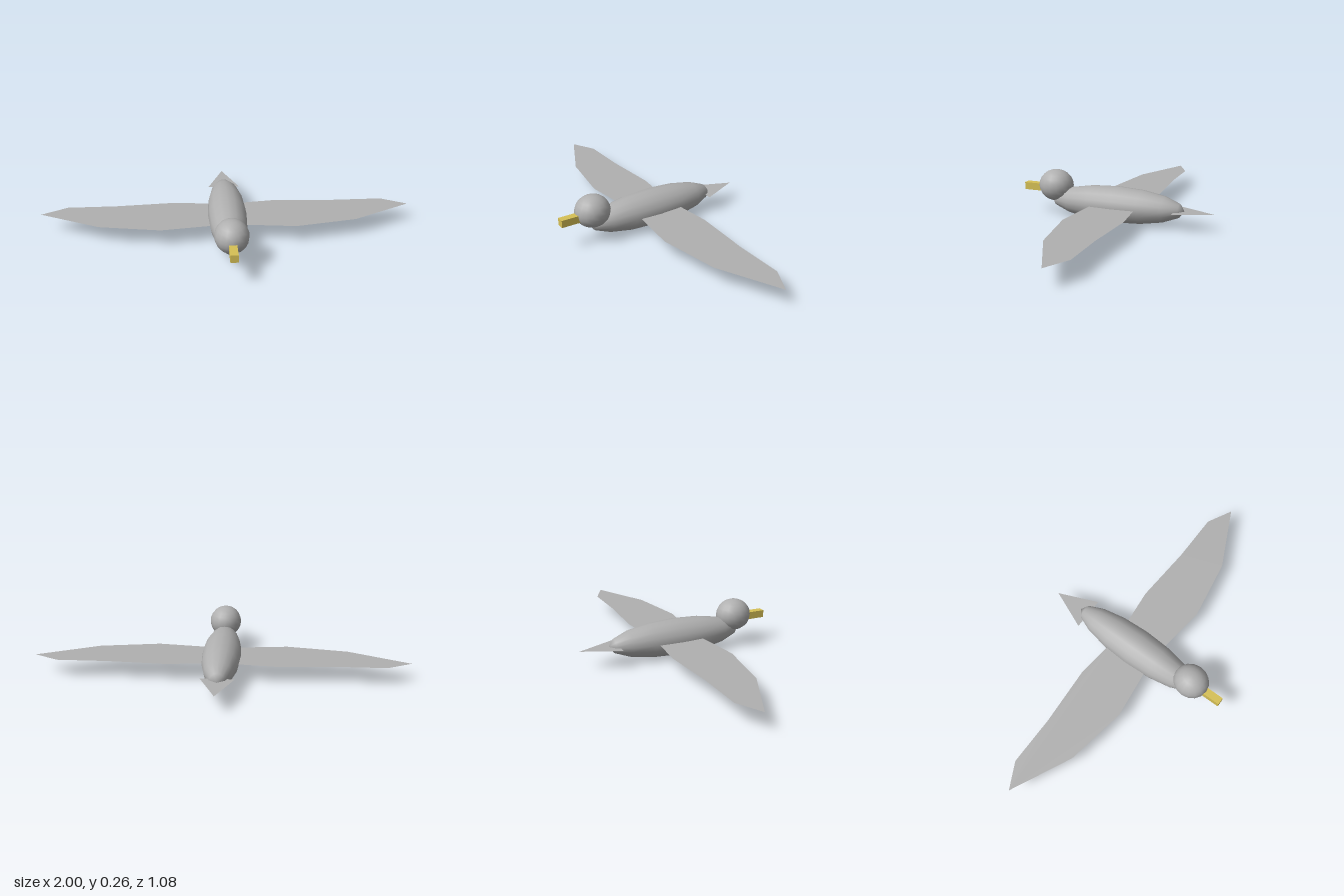
import * as THREE from 'three';

export function createModel() {
  const model = new THREE.Group();
  const grey = new THREE.MeshStandardMaterial({ color: 0xb0b0b0, side: THREE.DoubleSide });
  grey.name = 'feather grey';
  const yellow = new THREE.MeshStandardMaterial({ color: 0xd6c055 });
  yellow.name = 'beak yellow';
  const midY = 0.098;

  const add = (name, geometry, material, x, y, z) => {
    const mesh = new THREE.Mesh(geometry, material);
    mesh.name = name;
    mesh.position.set(x, y, z);
    model.add(mesh);
    return mesh;
  };

  // Flat sheet from [x, z] outline, lying level and facing up
  const sheet = (points) => {
    const shape = new THREE.Shape(points.map(([x, z]) => new THREE.Vector2(x, -z)));
    return new THREE.ShapeGeometry(shape).rotateX(-Math.PI / 2);
  };

  // Long body with its poles at nose and tail
  const bodyShape = new THREE.SphereGeometry(1, 16, 8).rotateX(Math.PI / 2).scale(0.104, 0.098, 0.38);
  add('body', bodyShape, grey, 0, midY, 0);

  // Head and beak
  add('head', new THREE.SphereGeometry(1, 16, 12).scale(0.088, 0.087, 0.096), grey, 0, 0.173, 0.355);
  add('beak', new THREE.BoxGeometry(0.04, 0.04, 0.14), yellow, 0, 0.155, 0.47);

  // Mirrored wings
  const wing = [
    [0, 0.11], [0.1, 0.12], [0.355, 0.15], [0.68, 0.095], [1, -0.06],
    [0.865, -0.13], [0.6, -0.13], [0.285, -0.15], [0, -0.12],
  ];
  for (const [name, side] of [['leftWing', 1], ['rightWing', -1]]) {
    add(name, sheet(wing.map(([x, z]) => [x * side, z])), grey, 0, midY, 0);
  }

  // Triangular tail
  add('tail', sheet([[-0.088, -0.33], [0.088, -0.33], [0, -0.54]]), grey, 0, midY, 0);

  return model;
}
